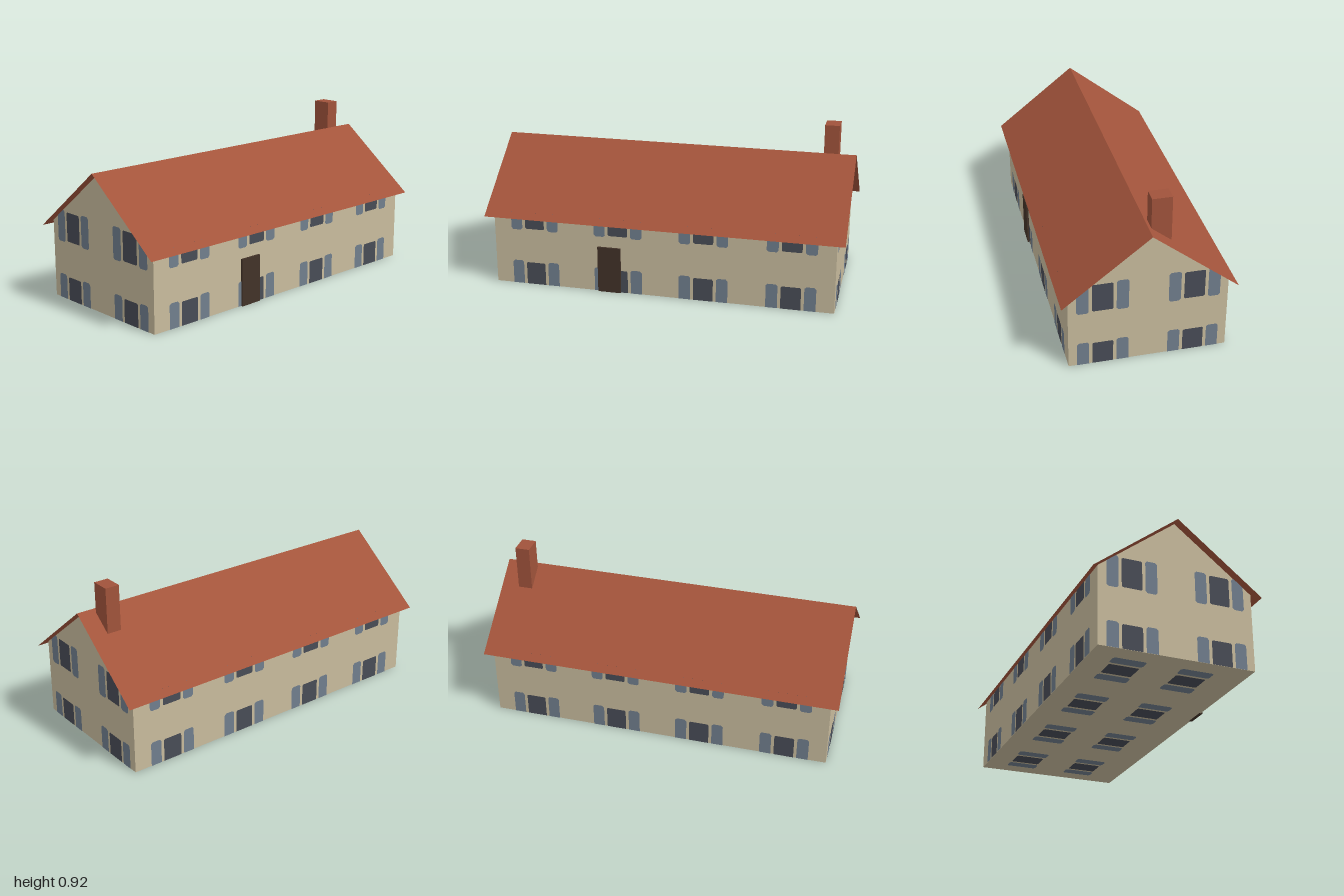
import * as THREE from 'three';
import { mergeGeometries } from 'three/addons/utils/BufferGeometryUtils.js';

const HALF_X = 0.955, HALF_Z = 0.42, EAVE = 0.43, RIDGE = 0.757, BASE = 0.002;
const COLUMN_X = [-0.72, -0.24, 0.24, 0.72];
const COLUMN_Z = [-0.24, 0.24];
const ROWS = [0.051, 0.414];

const material = (name, color, side = THREE.FrontSide) => {
  const m = new THREE.MeshStandardMaterial({ color, side });
  m.name = name;
  return m;
};

// Keep the part of a polygon where a*x + b*y <= c
function clip(points, [a, b, c]) {
  const out = [];
  points.forEach((p, i) => {
    const q = points[(i + 1) % points.length];
    const dp = a * p.x + b * p.y - c, dq = a * q.x + b * q.y - c;
    if (dp <= 0) out.push(p);
    if ((dp < 0 && dq > 0) || (dp > 0 && dq < 0)) out.push(p.clone().lerp(q, dp / (dp - dq)));
  });
  return out;
}

// Upright rectangle with cut corners
function plate(cx, cy, w, h, cut) {
  const x = w / 2, y = h / 2;
  return [[x - cut, -y], [x, -y + cut], [x, y - cut], [x - cut, y],
    [-x + cut, y], [-x, y - cut], [-x, -y + cut], [-x + cut, -y]]
    .map(([px, py]) => new THREE.Vector2(cx + px, cy + py));
}

// Grid of shuttered windows lying in the local xy plane, trimmed to the wall
function windowSet(name, columns, rows, limits, glass, shutter) {
  const panes = [], shutters = [];
  const add = (list, outline) => {
    const trimmed = limits.reduce(clip, outline);
    if (trimmed.length > 2) list.push(new THREE.ShapeGeometry(new THREE.Shape(trimmed)));
  };
  for (const x of columns) for (const y of rows) {
    add(panes, plate(x, y, 0.11, 0.162, 0.006));
    for (const s of [-1, 1]) add(shutters, plate(x + s * 0.104, y, 0.064, 0.178, 0.01));
  }
  const group = new THREE.Group();
  group.name = name;
  for (const [label, list, mat] of [['panes', panes, glass], ['shutters', shutters, shutter]]) {
    const mesh = new THREE.Mesh(mergeGeometries(list), mat);
    mesh.name = label;
    group.add(mesh);
  }
  return group;
}

export function createModel() {
  const house = new THREE.Group();
  house.name = 'house';
  const wallMat = material('stone wall', 0xc8bb9d);
  const roofMat = material('roof tile', 0xa3543b, THREE.DoubleSide);
  const brickMat = material('chimney brick', 0xa0533b);
  const doorMat = material('dark door', 0x423228);
  const glass = material('window glass', 0x484c56);
  const shutter = material('shutter blue', 0x707e8d);
  const add = (name, geometry, mat) => {
    const mesh = new THREE.Mesh(geometry, mat);
    mesh.name = name;
    house.add(mesh);
    return mesh;
  };

  // Gabled body
  const gable = new THREE.Shape([[-HALF_Z, BASE], [HALF_Z, BASE], [HALF_Z, EAVE], [0, RIDGE], [-HALF_Z, EAVE]]
    .map(p => new THREE.Vector2(...p)));
  const body = new THREE.ExtrudeGeometry(gable, { depth: HALF_X * 2, bevelEnabled: false });
  add('walls', body.rotateY(Math.PI / 2).translate(-HALF_X, 0, 0), wallMat);

  // Two thin roof slopes with a small overhang
  for (const [name, s] of [['frontRoof', 1], ['backRoof', -1]]) {
    const rise = 0.362, run = 0.46;
    const slope = new THREE.PlaneGeometry(2, Math.hypot(rise, run));
    slope.rotateX(-Math.atan2(run, rise));
    slope.translate(0, 0.4 + rise / 2, run / 2);
    if (s < 0) slope.rotateY(Math.PI);
    add(name, slope, roofMat);
  }

  // Chimney rising from the back slope
  add('chimney', new THREE.BoxGeometry(0.08, 0.315, 0.106), brickMat).position.set(0.86, 0.7575, -0.072);

  // Front door
  add('door', new THREE.BoxGeometry(0.13, 0.263, 0.02), doorMat).position.set(-0.289, 0.1335, 0.422);

  // Windows on the long walls and the gable ends
  const above = [0, -1, -BASE], pitch = (RIDGE - EAVE) / HALF_Z;
  const wallLimits = [above, [0, 1, EAVE]];
  const gableLimits = [above, [pitch, 1, RIDGE], [-pitch, 1, RIDGE]];
  const off = 0.002;
  for (const [name, turn, columns, limits, distance] of [
    ['frontWindows', 0, COLUMN_X, wallLimits, HALF_Z],
    ['leftWindows', 1, COLUMN_Z, gableLimits, HALF_X],
    ['backWindows', 2, COLUMN_X, wallLimits, HALF_Z],
    ['rightWindows', 3, COLUMN_Z, gableLimits, HALF_X],
  ]) {
    const set = windowSet(name, columns, ROWS, limits, glass, shutter);
    const angle = turn * Math.PI / 2;
    set.rotation.y = angle;
    set.position.set(Math.sin(angle), 0, Math.cos(angle)).multiplyScalar(distance + off);
    house.add(set);
  }

  // The same pattern repeats on the underside
  const floorSet = windowSet('floorPattern', COLUMN_X, [-0.208, 0.155], [], glass, shutter);
  floorSet.rotation.x = Math.PI / 2;
  house.add(floorSet);

  return house;
}
